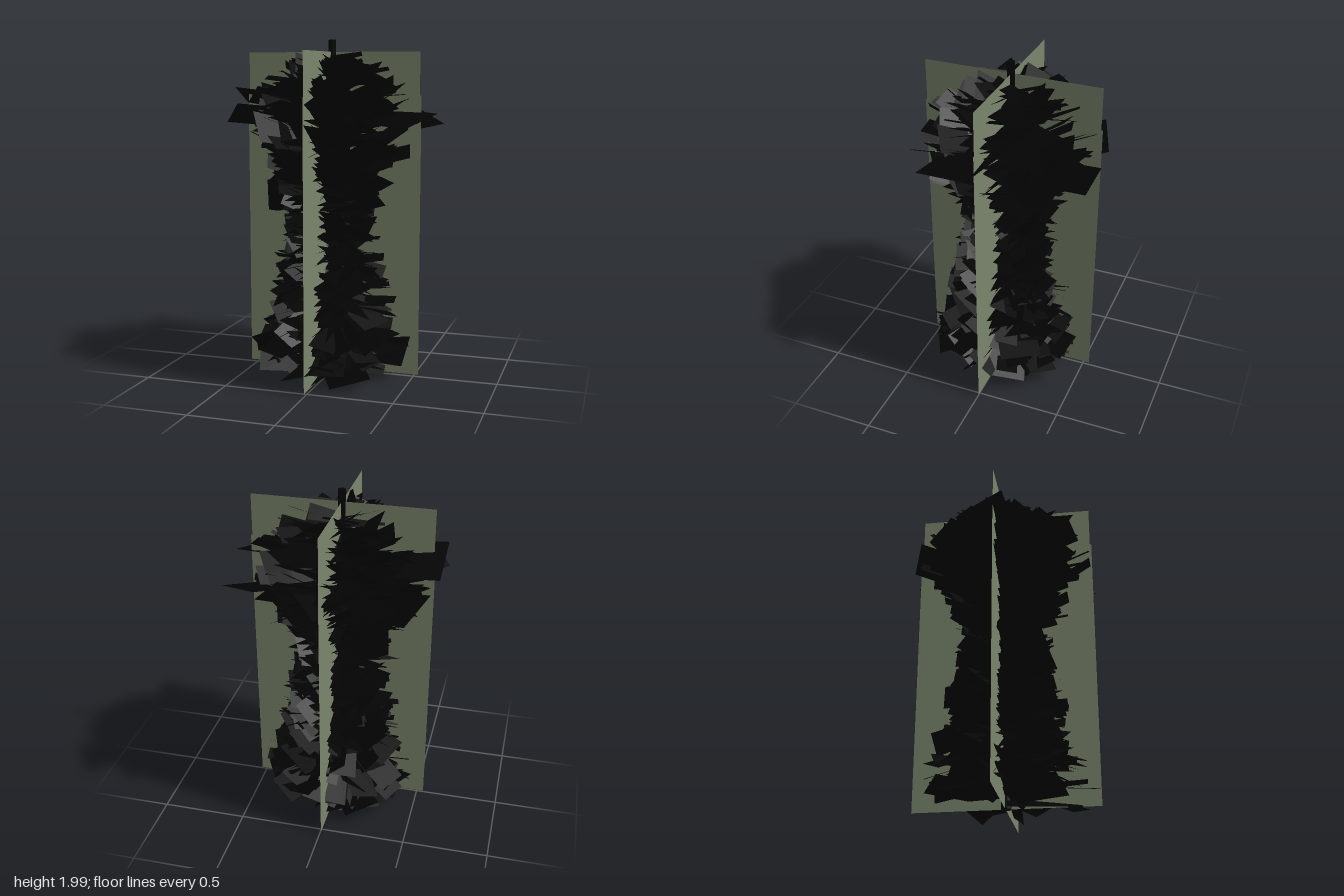
import * as THREE from 'three';
import { mergeGeometries } from 'three/addons/utils/BufferGeometryUtils.js';

const CX = -0.007; // trunk axis

// Foliage radius at the branch tips: [height, radius]
const PROFILE = [
  [0.06, 0.44], [0.2, 0.47], [0.32, 0.42], [0.5, 0.38], [0.7, 0.35], [0.85, 0.31], [1.0, 0.29],
  [1.15, 0.32], [1.25, 0.38], [1.4, 0.47], [1.55, 0.51], [1.68, 0.49], [1.78, 0.42], [1.85, 0.32], [1.93, 0.1],
];

function radiusAt(y) {
  for (let i = 1; i < PROFILE.length; i++) {
    const [y0, r0] = PROFILE[i - 1], [y1, r1] = PROFILE[i];
    if (y <= y1) return THREE.MathUtils.lerp(r0, r1, Math.max(0, (y - y0) / (y1 - y0)));
  }
  return 0.1;
}

function seeded(seed) {
  return () => {
    seed = (seed * 16807) % 2147483647;
    return seed / 2147483647;
  };
}

// Flat leaf card running from the trunk out to a tip at the given height
function leafCard(yaw, tipY, reach, width, pitch, roll) {
  const length = Math.sqrt(Math.max(0.004, reach * reach - width * width / 4)) / Math.cos(pitch);
  const g = new THREE.PlaneGeometry(length, width);
  g.rotateX(-Math.PI / 2);
  g.translate(length / 2, 0, 0);
  g.applyMatrix4(new THREE.Matrix4().makeRotationFromEuler(new THREE.Euler(roll, yaw, pitch, 'YZX')));
  g.translate(CX, tipY - length * Math.sin(pitch), 0);
  const p = g.attributes.position;
  for (let i = 0; i < p.count; i++) p.setY(i, THREE.MathUtils.clamp(p.getY(i), 0.0, 1.93));
  g.computeVertexNormals();
  return g;
}

export function createModel() {
  const group = new THREE.Group();
  const dark = new THREE.MeshStandardMaterial({ color: 0x030303, side: THREE.DoubleSide });
  const green = new THREE.MeshStandardMaterial({ color: 0x7b866c, side: THREE.DoubleSide });
  const rand = seeded(4711);
  const spread = (a) => (rand() * 2 - 1) * a;

  // Trunk
  const trunk = new THREE.Mesh(new THREE.CylinderGeometry(0.023, 0.03, 1.98, 8), dark);
  trunk.position.set(CX, 1.01, 0);
  trunk.name = 'trunk';
  group.add(trunk);

  // Two crossed upright panels, a little narrower near the top
  const outline = new THREE.Shape([
    [-0.535, 0.02], [0.535, 0.02], [0.535, 1.68], [0.526, 1.68],
    [0.526, 1.93], [-0.526, 1.93], [-0.526, 1.68], [-0.535, 1.68],
  ].map(([x, y]) => new THREE.Vector2(x, y)));
  for (const [name, turn] of [['sidePanel', 0], ['frontBackPanel', Math.PI / 2]]) {
    const panel = new THREE.Mesh(new THREE.ShapeGeometry(outline), green);
    panel.position.set(CX, 0, -0.004);
    panel.rotation.y = turn;
    panel.name = name;
    group.add(panel);
  }

  // Branch cards in a golden-angle spiral: drooping at the foot, rising in the crown
  const cards = [];
  const count = 640;
  for (let i = 0; i < count; i++) {
    const tipY = 0.08 + 1.81 * (i / (count - 1));
    const lean = THREE.MathUtils.lerp(-0.2, 0.35, THREE.MathUtils.smoothstep(tipY, 0.1, 1.6));
    const reach = radiusAt(tipY) * (0.78 + 0.28 * rand());
    const width = Math.min(reach * 0.95, 0.11 + 0.15 * rand());
    cards.push(leafCard(i * 2.39996 + spread(0.3), tipY, reach, width, lean + spread(0.28), spread(0.85)));
  }
  // Large outer cards: yaw in degrees, tip height, reach, width, pitch, roll
  const outer = [
    [44, 1.56, 0.685, 0.39, 0.15, 0.3], [-17, 1.54, 0.63, 0.37, -0.1, 0.2],
    [-76, 1.41, 0.6, 0.23, 0.05, 0.5], [-148, 1.58, 0.62, 0.35, 0.1, 0.35],
    [174, 1.66, 0.61, 0.27, 0.1, 0.5], [148, 1.46, 0.59, 0.26, 0.25, 0.4],
    [72, 1.46, 0.59, 0.19, 0.2, 0.5], [105, 1.58, 0.56, 0.24, 0.3, 0.4],
    [20, 1.72, 0.5, 0.22, 0.35, 0.6], [-97, 0.1, 0.53, 0.18, -0.1, 0.3],
    [-8, 0.18, 0.49, 0.2, 0, 0.8], [-60, 0.06, 0.48, 0.24, -0.2, 0.2],
    [190, 1.08, 0.41, 0.24, 0.1, 1], [175, 1.82, 0.32, 0.22, 0.5, 0.7],
  ];
  for (const [deg, y, reach, width, pitch, roll] of outer) {
    cards.push(leafCard(THREE.MathUtils.degToRad(deg), y, reach, width, pitch, roll));
  }
  const foliage = new THREE.Mesh(mergeGeometries(cards), dark);
  foliage.name = 'foliage';
  group.add(foliage);

  return group;
}
